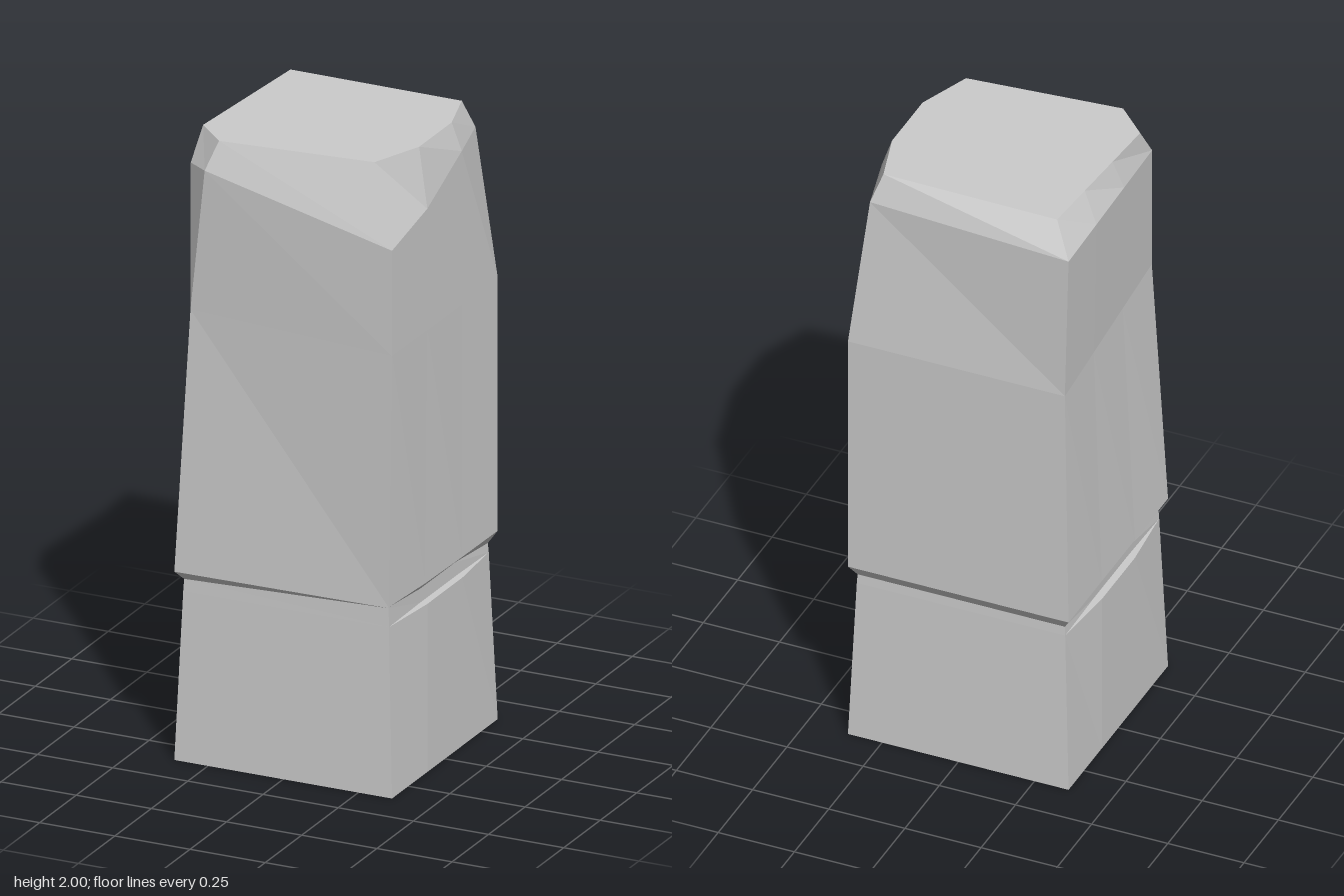
import * as THREE from 'three';

const V = (x, y, z) => new THREE.Vector3(x, y, z);

// Nine-point ring, clockwise from above: back corners, right side, front corners, left side.
// The right and left sides each carry two middle points; leave them out to run straight.
function ring({ bl, br, fr, fl, fl2 = fl, right, left }) {
  const side = (mids, from, to) => mids
    ? mids.map(p => V(...p))
    : [1 / 3, 2 / 3].map(t => V(...from).lerp(V(...to), t));
  return [V(...bl), V(...br), ...side(right, br, fr), V(...fr), V(...fl), V(...fl2), ...side(left, fl2, bl)];
}

// Flat-faced skin through a stack of rings
function loft(name, rings, material, capBottom, capTop) {
  const pos = [];
  const tri = (a, b, c) => {
    const area = b.clone().sub(a).cross(c.clone().sub(a)).length();
    if (area > 1e-7) for (const p of [a, b, c]) pos.push(p.x, p.y, p.z);
  };
  for (let r = 0; r < rings.length - 1; r++) {
    const a = rings[r], b = rings[r + 1];
    for (let i = 0; i < a.length; i++) {
      const j = (i + 1) % a.length;
      tri(a[i], b[i], b[j]);
      tri(a[i], b[j], a[j]);
    }
  }
  const bottom = rings[0], top = rings[rings.length - 1];
  for (let i = 1; i < bottom.length - 1; i++) {
    if (capBottom) tri(bottom[0], bottom[i], bottom[i + 1]);
    if (capTop) tri(top[0], top[i + 1], top[i]);
  }
  const geo = new THREE.BufferGeometry();
  geo.setAttribute('position', new THREE.Float32BufferAttribute(pos, 3));
  geo.computeVertexNormals();
  const mesh = new THREE.Mesh(geo, material);
  mesh.name = name;
  return mesh;
}

export function createModel() {
  const stone = new THREE.MeshStandardMaterial({ color: 0xcccccc, flatShading: true });
  const group = new THREE.Group();
  group.name = 'stonePillar';

  // Rectangular ring; mid sets how far the side middles stand out
  const box = (y, s, mid) => ring({
    bl: [-s, y, -s], br: [s, y, -s], fr: [s, y, s], fl: [-s, y, s],
    right: [[mid, y, -0.12], [mid, y, 0.12]],
    left: [[-mid, y, 0.12], [-mid, y, -0.12]],
  });

  // Groove between base and shaft
  const groove = ring({
    bl: [-0.34, 0.57, -0.34], br: [0.34, 0.57, -0.34], fr: [0.34, 0.6, 0.34], fl: [-0.34, 0.578, 0.34],
    right: [[0.338, 0.585, -0.12], [0.338, 0.585, 0.12]],
  });

  // Base: tapering corners, with a thin ledge on the left and right sides
  group.add(loft('base', [
    box(0, 0.362, 0.362),
    box(0.54, 0.342, 0.362),
    box(0.54, 0.342, 0.338),
    groove,
  ], stone, true, false));

  // Shaft: overhang, slight bend, uneven bevel and a chipped front corner
  group.add(loft('shaft', [
    groove,
    ring({
      bl: [-0.362, 0.605, -0.362], br: [0.362, 0.605, -0.362], fr: [0.34, 0.603, 0.34], fl: [-0.362, 0.605, 0.362],
      right: [[0.36, 0.605, -0.12], [0.355, 0.605, 0.12]],
    }),
    ring({
      bl: [-0.35, 1.42, -0.362], br: [0.362, 1.42, -0.362], fr: [0.36, 1.42, 0.358], fl: [-0.316, 1.45, 0.346],
      right: [[0.362, 1.42, -0.12], [0.362, 1.42, 0.12]],
    }),
    ring({
      bl: [-0.362, 1.91, -0.362], br: [0.31, 1.91, -0.317], fr: [0.362, 1.76, 0.362],
      fl: [-0.262, 1.91, 0.36], fl2: [-0.34, 1.9, 0.295],
      right: [[0.36, 1.91, -0.12], [0.362, 1.81, 0.12]],
    }),
    ring({
      bl: [-0.293, 2, -0.292], br: [0.28, 2, -0.285], fr: [0.265, 2, 0.282],
      fl: [-0.23, 2, 0.328], fl2: [-0.33, 2, 0.23],
      right: [[0.33, 2, -0.113], [0.33, 2, 0.11]],
    }),
  ], stone, false, true));

  return group;
}
